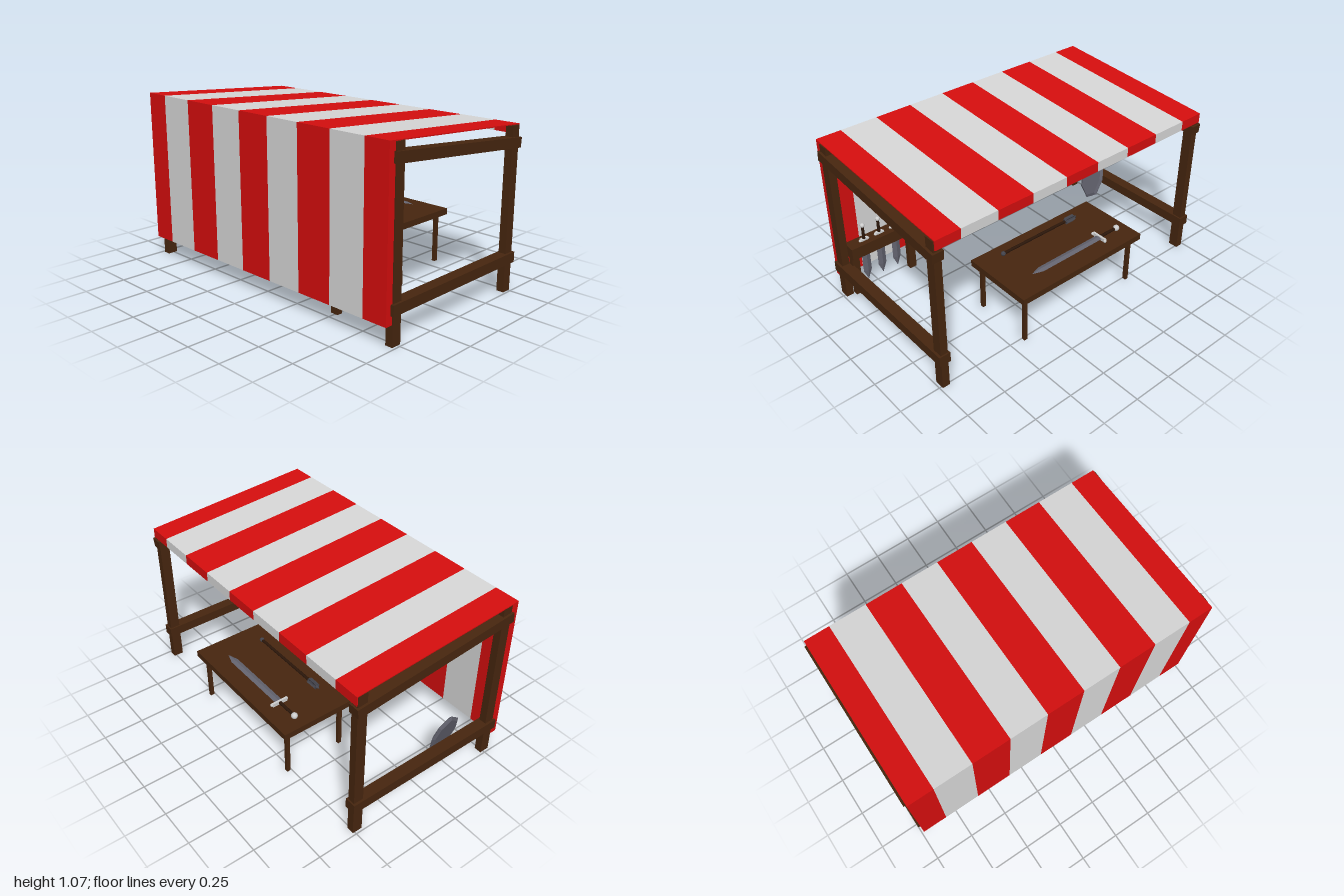
import * as THREE from 'three';

const mat = (name, color, extra = {}) => {
  const m = new THREE.MeshStandardMaterial({ color, ...extra });
  m.name = name;
  return m;
};

export function createModel() {
  const wood = mat('dark wood', 0x47260f);
  const red = mat('red cloth', 0xd60e0e);
  const white = mat('white cloth', 0xd8d8d8);
  const steel = mat('steel', 0x646470, { flatShading: true });
  const darkSteel = mat('dark steel', 0x43434b, { flatShading: true });
  const silver = mat('silver', 0xcfcfcf);
  const grip = mat('grip leather', 0x2c170a);

  const model = new THREE.Group();
  model.name = 'marketStall';
  const group = (name, parent = model) => {
    const g = new THREE.Group();
    g.name = name;
    parent.add(g);
    return g;
  };
  const add = (parent, name, geometry, material, x = 0, y = 0, z = 0) => {
    const m = new THREE.Mesh(geometry, material);
    m.name = name;
    m.position.set(x, y, z);
    parent.add(m);
    return m;
  };
  // Box given by its minimum and maximum on each axis
  const box = (parent, name, x0, x1, y0, y1, z0, z1, material = wood) =>
    add(parent, name, new THREE.BoxGeometry(x1 - x0, y1 - y0, z1 - z0), material,
      (x0 + x1) / 2, (y0 + y1) / 2, (z0 + z1) / 2);

  // Frame: posts and rails on both sides
  const frame = group('frame');
  const slope = Math.atan2(-0.095, 1.07);
  for (const s of [-1, 1]) {
    const zPost = s * 0.962;
    add(frame, 'backPost', new THREE.BoxGeometry(0.062, 1.054, 0.046), wood, -0.51, 0.527, zPost);
    add(frame, 'frontPost', new THREE.BoxGeometry(0.062, 0.985, 0.046), wood, 0.482, 0.4925, zPost);
    add(frame, 'lowerRail', new THREE.BoxGeometry(1.075, 0.062, 0.07), wood, -0.015, 0.206, s * 0.964);
    const top = add(frame, 'upperRail', new THREE.BoxGeometry(1.077, 0.06, 0.07), wood, -0.015, 0.933, s * 0.964);
    top.rotation.z = slope;
  }

  // Canopy: one folded profile (back panel, roof, valance) per stripe
  const canopy = group('canopy');
  const profile = new THREE.Shape([
    [-0.585, 0.122], [-0.54, 0.122], [-0.54, 1.056], [0.515, 0.985], [0.515, 0.93],
    [0.521, 0.93], [0.521, 0.99], [-0.585, 1.065],
  ].map(p => new THREE.Vector2(...p)));
  const edges = [-0.985, -0.825, -0.59, -0.355, -0.118, 0.116, 0.352, 0.587, 0.822, 0.979];
  for (let i = 0; i < 9; i++) {
    const geometry = new THREE.ExtrudeGeometry(profile, { depth: edges[i + 1] - edges[i], bevelEnabled: false });
    add(canopy, 'canopyStripe', geometry, i % 2 ? white : red, 0, 0, edges[i]);
  }

  // Table
  const table = group('table');
  box(table, 'tableTop', 0.115, 0.58, 0.333, 0.372, -0.467, 0.468);
  for (const x of [0.156, 0.533])
    for (const z of [-0.416, 0.42])
      box(table, 'tableLeg', x - 0.012, x + 0.012, 0.027, 0.335, z - 0.011, z + 0.011);

  // Sword rack
  const rack = group('swordRack');
  box(rack, 'rackBeam', -0.51, -0.42, 0.29, 0.369, 0.492, 0.94);
  for (const z of [0.518, 0.913])
    box(rack, 'rackLeg', -0.476, -0.441, 0.015, 0.3, z - 0.024, z + 0.024);

  // Sword pointing down, with the guard at its origin; the blade is wide along x
  const sword = (name, bladeLength, width, gripLength, pommelRadius, guardWidth) => {
    const g = group(name);
    const tip = 0.07, body = bladeLength - tip;
    const blade = add(g, 'blade', new THREE.CylinderGeometry(width / 2, width / 2, body, 4), steel, 0, -body / 2, 0);
    const point = add(g, 'bladeTip', new THREE.ConeGeometry(width / 2, tip, 4), steel, 0, -body - tip / 2, 0);
    point.rotation.x = Math.PI;
    for (const part of [blade, point]) part.scale.z = 0.3;
    add(g, 'guard', new THREE.BoxGeometry(guardWidth, 0.014, 0.022), silver);
    for (const s of [-1, 1])
      add(g, 'guardEnd', new THREE.SphereGeometry(0.011, 8, 6), silver, s * guardWidth / 2, -0.004, 0);
    add(g, 'grip', new THREE.CylinderGeometry(0.009, 0.01, gripLength, 8), grip, 0, gripLength / 2, 0);
    add(g, 'pommel', new THREE.SphereGeometry(pommelRadius, 10, 8), silver, 0, gripLength + pommelRadius * 0.7, 0);
    return g;
  };
  for (const z of [0.617, 0.724, 0.83]) {
    const s = sword('rackSword', 0.305, 0.056, 0.09, 0.015, 0.05);
    s.position.set(-0.465, 0.374, z);
    s.rotation.y = Math.PI / 2;
  }
  const tableSword = sword('tableSword', 0.54, 0.046, 0.13, 0.02, 0.1);
  tableSword.position.set(0.455, 0.388, -0.24);
  tableSword.rotation.x = -Math.PI / 2;

  // Mace lying on the table, built upright with the head at the top
  const mace = group('mace');
  add(mace, 'maceHandle', new THREE.CylinderGeometry(0.009, 0.009, 0.54, 8), grip);
  add(mace, 'macePommel', new THREE.SphereGeometry(0.015, 8, 6), darkSteel, 0, -0.28, 0);
  add(mace, 'maceHead', new THREE.CylinderGeometry(0.012, 0.014, 0.08, 8), darkSteel, 0, 0.25, 0);
  for (let i = 0; i < 3; i++) {
    const flange = add(mace, 'maceFlange', new THREE.CylinderGeometry(0.022, 0.022, 0.07, 4), darkSteel, 0, 0.25, 0);
    flange.rotation.y = i * Math.PI / 3;
    flange.scale.z = 0.25;
  }
  add(mace, 'maceTip', new THREE.ConeGeometry(0.012, 0.02, 8), darkSteel, 0, 0.3, 0);
  mace.position.set(0.205, 0.389, 0.02);
  mace.rotation.x = -Math.PI / 2;

  // Leaning shield: bevelled, stretched octagon
  const half = [[0.072, 0.107], [0.095, 0.012], [0.072, -0.112]];
  const outline = [[0, 0.166], ...half, [0, -0.163], ...half.map(([x, y]) => [-x, y]).reverse()];
  const inset = 0.016;
  const shieldShape = new THREE.Shape(outline.map(([x, y]) =>
    new THREE.Vector2(x * (1 - inset / 0.095), y * (1 - inset / 0.165))));
  const shieldGeometry = new THREE.ExtrudeGeometry(shieldShape, {
    depth: 0.004, bevelEnabled: true, bevelThickness: 0.009, bevelSize: inset, bevelSegments: 1,
  });
  const shield = add(model, 'shield', shieldGeometry, steel, -0.24, 0.222, -0.888);
  shield.rotation.x = -0.26;

  return model;
}
